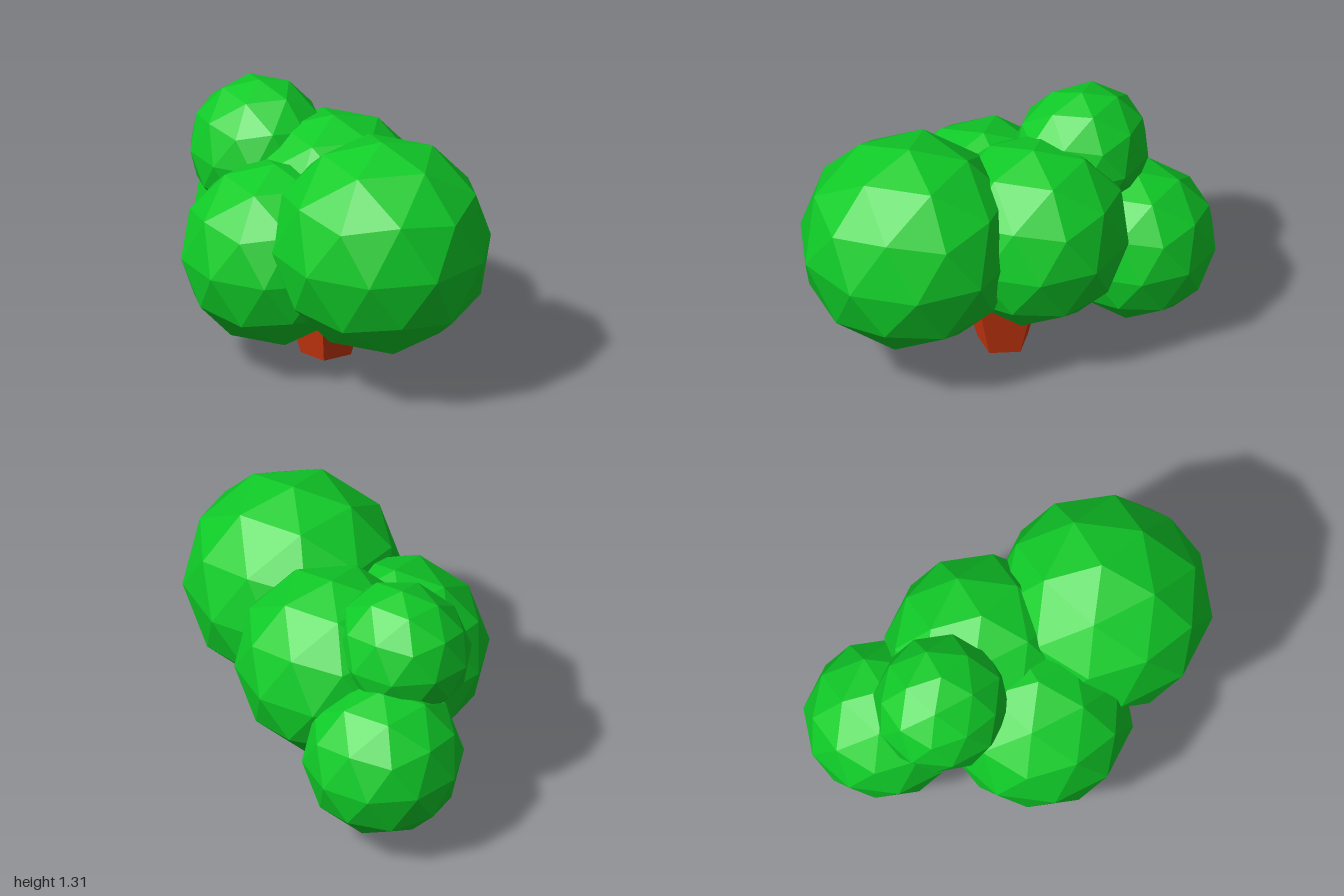
import * as THREE from 'three';

const leafMaterial = new THREE.MeshStandardMaterial({ color: 0x10cc28, flatShading: true });
const barkMaterial = new THREE.MeshStandardMaterial({ color: 0xcc3810, flatShading: true });

// Faceted ball with a corner pointing straight up
function leafBall(name, radius, x, y, z) {
  const geometry = new THREE.IcosahedronGeometry(radius, 1);
  geometry.rotateZ(-Math.atan(2 / (1 + Math.sqrt(5))));
  const mesh = new THREE.Mesh(geometry, leafMaterial);
  mesh.name = name;
  mesh.position.set(x, y, z);
  return mesh;
}

// Flatten the half of a geometry that lies along a direction
function flattenSide(geometry, direction, factor) {
  const p = geometry.attributes.position;
  const v = new THREE.Vector3();
  for (let i = 0; i < p.count; i++) {
    v.fromBufferAttribute(p, i);
    const d = v.dot(direction);
    if (d > 0) v.addScaledVector(direction, d * (factor - 1));
    p.setXYZ(i, v.x, v.y, v.z);
  }
  geometry.computeVertexNormals();
}

export function createModel() {
  const tree = new THREE.Group();
  tree.name = 'tree';

  // Five-sided trunk, widening upward, one corner to the back
  const trunkGeometry = new THREE.CylinderGeometry(0.255, 0.13, 0.45, 5);
  trunkGeometry.rotateY(Math.PI);
  const trunk = new THREE.Mesh(trunkGeometry, barkMaterial);
  trunk.name = 'trunk';
  trunk.position.set(-0.01, 0.225, -0.03);
  tree.add(trunk);

  // Foliage clumps
  tree.add(
    leafBall('largeFoliage', 0.547, 0.477, 0.767, 0.108),
    leafBall('frontFoliage', 0.467, -0.11, 0.593, 0.24),
    leafBall('backFoliage', 0.48, -0.09, 0.715, -0.165),
    leafBall('lowFoliage', 0.4, -0.62, 0.495, -0.315),
  );

  // Upper clump has a flatter, sloping front
  const upper = leafBall('upperFoliage', 0.35, -0.485, 0.96, -0.04);
  flattenSide(upper.geometry, new THREE.Vector3(0, 0.49, 0.87).normalize(), 0.86);
  tree.add(upper);

  return tree;
}
